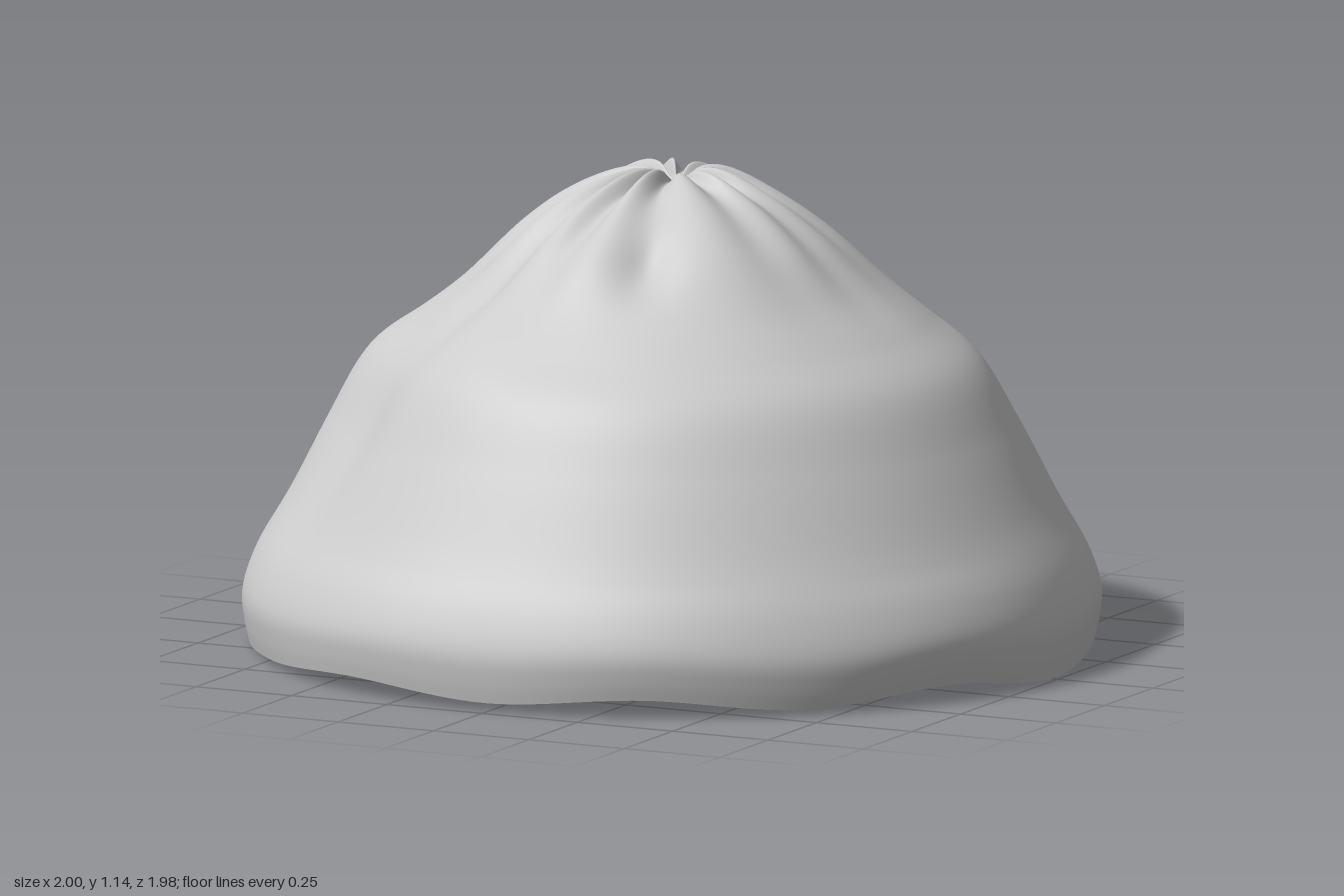
import * as THREE from 'three';

const SEGMENTS = 240;
const RINGS = 110;

// Smooth closed lookup: evenly spaced values around the circle
function around(values, angle) {
  const n = values.length;
  const u = ((angle / (2 * Math.PI)) % 1 + 1) % 1 * n;
  const i = Math.floor(u), f = u - i;
  const [a, b, c, d] = [-1, 0, 1, 2].map((k) => values[(i + k + n) % n]);
  return b + 0.5 * f * (c - a + f * (2 * a - 5 * b + 4 * c - d + f * (3 * (b - c) + d - a)));
}

const bump = (x, width) => Math.exp(-(x * x) / (width * width));
const angleGap = (a, b) => Math.atan2(Math.sin(a - b), Math.cos(a - b));

// Angles run from +x towards +z
const outline = [1, 0.995, 0.99, 0.99, 0.99, 1.01, 1.01, 1.015, 1, 0.975, 1.0, 1.01, 0.985, 0.985, 0.99, 0.995];
const rimHeight = [0, 0.04, 0.015, 0.045, 0.02, 0.042, 0.015, 0.01, 0.025, 0.005, 0, 0, 0, 0, 0.02, 0.025];

// Side profile from the open rim to the pinched crown
const profile = new THREE.CatmullRomCurve3([
  [0.985, 0], [0.995, 0.05], [1, 0.12], [0.97, 0.22], [0.893, 0.36], [0.802, 0.53], [0.71, 0.68],
  [0.60, 0.775], [0.505, 0.855], [0.36, 0.985], [0.225, 1.075], [0.13, 1.112], [0.07, 1.12], [0.025, 1.105], [0, 1.095],
].map(([r, y]) => new THREE.Vector3(r, y, 0)));

// Broad dents and swells: angle, radius, angular width, radial width, depth
const dents = [
  [2.42, 0.78, 0.22, 0.14, -0.045],
  [2.85, 0.72, 0.25, 0.14, 0.02],
  [3.55, 0.80, 0.2, 0.16, -0.02],
  [1.95, 0.62, 0.25, 0.12, 0.015],
  [1.3, 0.38, 0.16, 0.07, -0.025],
  [1.75, 0.4, 0.14, 0.09, 0.015],
  [2.3, 0.5, 0.13, 0.13, -0.02],
  [0.1, 0.45, 0.35, 0.12, -0.012],
  [5.2, 0.4, 0.4, 0.15, -0.01],
];

// Gathered folds, tightest at the crown and longest on the left-front quarter
function folds(a, r) {
  const warp = a + 0.12 * Math.sin(2 * a + 1) + 0.08 * Math.sin(3 * a) + 0.3 * r;
  const wave = 0.6 - Math.pow(Math.abs(Math.sin(6.5 * warp + 0.25 * Math.sin(a))), 0.9);
  const cyclic = Math.cos(12 * warp);
  const longSide = 0.5 + 0.5 * Math.cos(a - 2.5);
  const inner = 0.018 * bump(r - 0.1, 0.09) * (0.75 + 0.25 * Math.cos(3 * a + 1));
  const outer = (0.005 + 0.011 * longSide) * bump(r - 0.28, 0.17);
  const seamSafe = bump(angleGap(a, 0), 0.4);
  return inner * THREE.MathUtils.lerp(cyclic + 0.25 * wave * (1 - seamSafe), cyclic, seamSafe)
    + outer * Math.cos(12 * warp + 0.6 * Math.sin(a));
}

function bunGeometry() {
  const positions = [], index = [];
  for (let j = 0; j <= RINGS; j++) {
    const t = j / RINGS;
    const p = profile.getPointAt(t), tangent = profile.getTangentAt(t);
    for (let i = 0; i < SEGMENTS; i++) {
      const a = (i / SEGMENTS) * 2 * Math.PI;
      let push = folds(a, p.x) * Math.min(1, p.x / 0.06);
      for (const [da, dr, wa, wr, depth] of dents) push += depth * bump(angleGap(a, da), wa) * bump(p.x - dr, wr);
      const low = THREE.MathUtils.smoothstep(0.75 - p.y, 0, 0.6);
      const scale = 1 + (around(outline, a) - 1) * low;
      const r = p.x * scale + push * tangent.y;
      const lift = around(rimHeight, a) * Math.max(0, 1 - p.y / 0.3);
      const y = Math.max(0, p.y - push * tangent.x + lift);
      positions.push(r * Math.cos(a), y, r * Math.sin(a));
      if (j === RINGS) continue;
      const n = (i + 1) % SEGMENTS, b = j * SEGMENTS, c = b + SEGMENTS;
      index.push(b + i, c + i, b + n, b + n, c + i, c + n);
    }
  }
  const geometry = new THREE.BufferGeometry();
  geometry.setAttribute('position', new THREE.Float32BufferAttribute(positions, 3));
  geometry.setIndex(index);
  geometry.computeVertexNormals();
  return geometry;
}

export function createModel() {
  const group = new THREE.Group();
  group.name = 'pleatedBun';
  // Open-bottomed dough shell
  const material = new THREE.MeshStandardMaterial({ color: 0xcccccc, side: THREE.DoubleSide });
  const shell = new THREE.Mesh(bunGeometry(), material);
  shell.name = 'doughShell';
  group.add(shell);
  return group;
}
